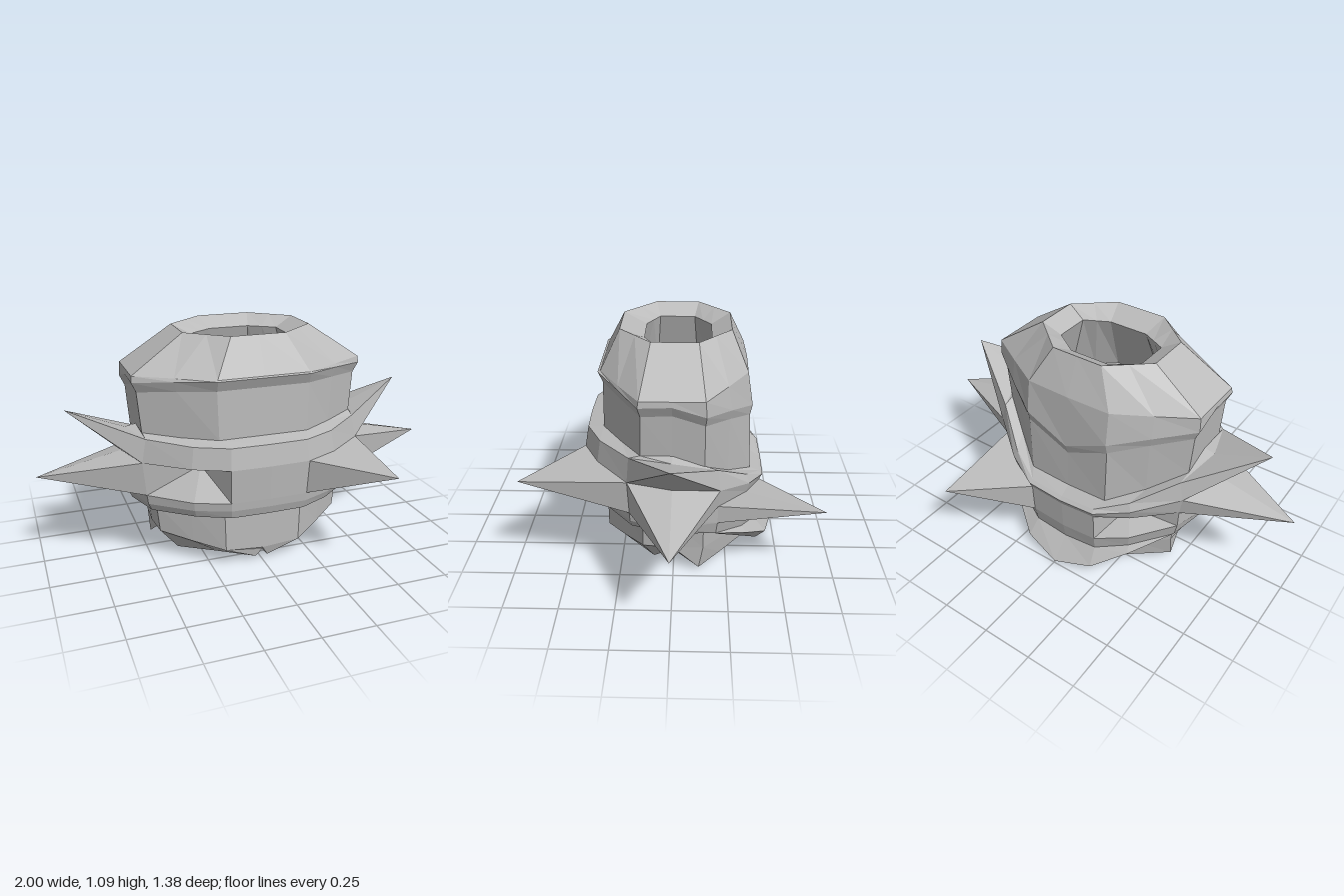
import * as THREE from 'three';

const stone = new THREE.MeshStandardMaterial({ color: 0xbbbbbb, flatShading: true, side: THREE.DoubleSide });
stone.name = 'grey stone';

// Mirrors a half outline (front centre, round the left, to back centre) into a 16-point ring
function ring(xs, ys, zs) {
  const half = xs.map((x, i) => [x, Array.isArray(ys) ? ys[i] : ys, zs[i]]);
  const other = half.slice(1, 8).reverse().map(([x, y, z]) => [-x, y, z]);
  return [...half, ...other];
}

function mesh(name, triangles) {
  const g = new THREE.BufferGeometry();
  g.setAttribute('position', new THREE.Float32BufferAttribute(triangles.flat(2), 3));
  g.computeVertexNormals();
  const m = new THREE.Mesh(g, stone);
  m.name = name;
  return m;
}

// Joins rings from top to bottom; skip(row, column) leaves a cell open
function loft(rings, skip = () => false) {
  const out = [];
  for (let r = 0; r + 1 < rings.length; r++) {
    for (let i = 0; i < 16; i++) {
      if (skip(r, i)) continue;
      const j = (i + 1) % 16, a = rings[r], b = rings[r + 1];
      out.push([a[i], b[i], b[j]], [a[i], b[j], a[j]]);
    }
  }
  return out;
}

// Fan from a ring to a centre point
const fan = (r, c) => r.map((p, i) => [p, r[(i + 1) % 16], c]);

// Pyramid over two neighbouring belt cells
function spike(upper, lower, s, apex) {
  const at = (r, k) => r[(s + k) % 16];
  const loop = [at(upper, 0), at(lower, 0), at(lower, 1), at(lower, 2), at(upper, 2), at(upper, 1)];
  return loop.map((p, k) => [p, loop[(k + 1) % 6], apex]);
}

export function createModel() {
  const group = new THREE.Group();

  // Head: faceted crown, drooping lip and wall
  const octX = [0, .22, .39, .56, .56, .56, .39, .22, 0];
  const octZ = [.335, .335, .24, .14, 0, -.14, -.24, -.335, -.34];
  const lipZ = [.347, .347, .247, .145, 0, -.145, -.26, -.36, -.365];
  const lipX = octX.map(x => x * 1.005);
  const wallX = [0, .22, .38, .54, .54, .54, .38, .22, 0];
  const wallZ = [.325, .325, .235, .135, 0, -.14, -.25, -.35, -.35];
  const rimX = [0, .13, .22, .31, .31, .31, .22, .13, 0];
  const rimZ = [.25, .25, .175, .1, 0, -.11, -.185, -.26, -.26];
  const rim = ring(rimX, 1.09, rimZ);
  const lipY = [.915, .915, .905, .89, .895, .85, .81, .76, .66];
  const wallFoot = ring(wallX.map(x => x * .97), [.64, .64, .64, .65, .65, .6, .5, .43, .42],
    [.33, .33, .235, .14, 0, -.14, -.25, -.36, -.36]);
  group.add(mesh('head', loft([
    rim,
    ring(octX, .92, octZ),
    ring(lipX, lipY, lipZ),
    ring(wallX, lipY.map(y => y - .048), wallZ),
    wallFoot,
  ])));

  // Hollow in the top, undercut below its mouth
  const mouth = ring([0, .1, .16, .22, .22, .22, .16, .1, 0], 1.04,
    [.14, .14, .11, .08, 0, -.09, -.13, -.17, -.17]);
  const pit = ring(rimX, .74, rimZ);
  group.add(mesh('topHollow', [...loft([pit, mouth, rim]), ...fan(pit, [0, .72, -.01])]));

  // Belt, level in front and sagging at the back
  const beltX = [0, .19, .35, .54, .6, .54, .35, .19, 0];
  const beltZ = [.43, .425, .35, .2, 0, -.21, -.35, -.425, -.43];
  const beltRow = (k, ys) => ring(beltX.map(x => x * k), ys, beltZ.map(z => z * k));
  const rows = [
    beltRow(.96, [.625, .625, .625, .635, .64, .58, .46, .395, .385]),
    beltRow(1, [.525, .525, .525, .525, .525, .49, .42, .38, .37]),
    beltRow(.97, [.36, .36, .355, .36, .36, .4, .37, .35, .34]),
    beltRow(.96, [.32, .32, .315, .315, .315, .31, .235, .2, .19]),
    beltRow(.93, [.28, .28, .28, .28, .275, .245, .17, .125, .11]),
  ];
  const open = { 1: [3, 4, 11, 12], 2: [1, 2, 3, 4, 11, 12, 13, 14], 3: [5, 6, 9, 10] };
  const bodyX = [0, .19, .33, .47, .48, .47, .33, .19, 0];
  const bodyZ = [.33, .33, .24, .14, 0, -.14, -.24, -.33, -.33];
  const bodyTop = ring(bodyX, [.28, .28, .28, .28, .28, .25, .21, .18, .18], bodyZ);
  group.add(mesh('belt', loft([wallFoot, ...rows, bodyTop], (r, i) => open[r]?.includes(i))));

  // Side spikes in mirrored pairs
  for (const [s, sign] of [[3, 1], [11, -1]]) {
    group.add(mesh('upperSideSpike', spike(rows[0], rows[1], s, [.85 * sign, .75, 0])));
    group.add(mesh('lowerSideSpike', spike(rows[1], rows[2], s, [sign, .44, 0])));
  }
  // Diagonal spikes on the left, inward dents on the right
  group.add(mesh('frontSpike', spike(rows[1], rows[2], 1, [.5, .5, .69])));
  group.add(mesh('backSpike', spike(rows[2], rows[3], 5, [.5, .36, -.69])));
  group.add(mesh('backDent', spike(rows[2], rows[3], 9, [-.28, .34, -.25])));
  group.add(mesh('frontDent', spike(rows[1], rows[2], 13, [-.28, .5, .25])));

  // Base, open below: front feet undercut, notches at the front, back and sides
  group.add(mesh('base', loft([
    bodyTop,
    ring(bodyX.map(x => x * .97), [.065, .08, .11, .14, .135, .13, .11, .08, .06], bodyZ),
    ring([0, .03, .19, .36, .43, .45, .32, .19, 0],
      [.05, .015, .015, .015, .1, .015, .015, .015, .04],
      [.32, .315, .205, .095, 0, -.12, -.225, -.325, -.31]),
  ])));

  // Flap hanging from the back of the belt, with its hem folded under
  const fold = ring([0, 0, 0, 0, 0, .5, .34, .19, 0],
    [0, 0, 0, 0, 0, .24, .14, .05, .005],
    [0, 0, 0, 0, 0, -.195, -.35, -.455, -.495]);
  const hem = ring([0, 0, 0, 0, 0, .48, .32, .17, 0],
    [0, 0, 0, 0, 0, .235, .11, 0, 0],
    [0, 0, 0, 0, 0, -.19, -.31, -.41, -.485]);
  group.add(mesh('backFlap', loft([rows[4], fold, hem], (r, i) => i < 5 || i > 10)));

  return group;
}
